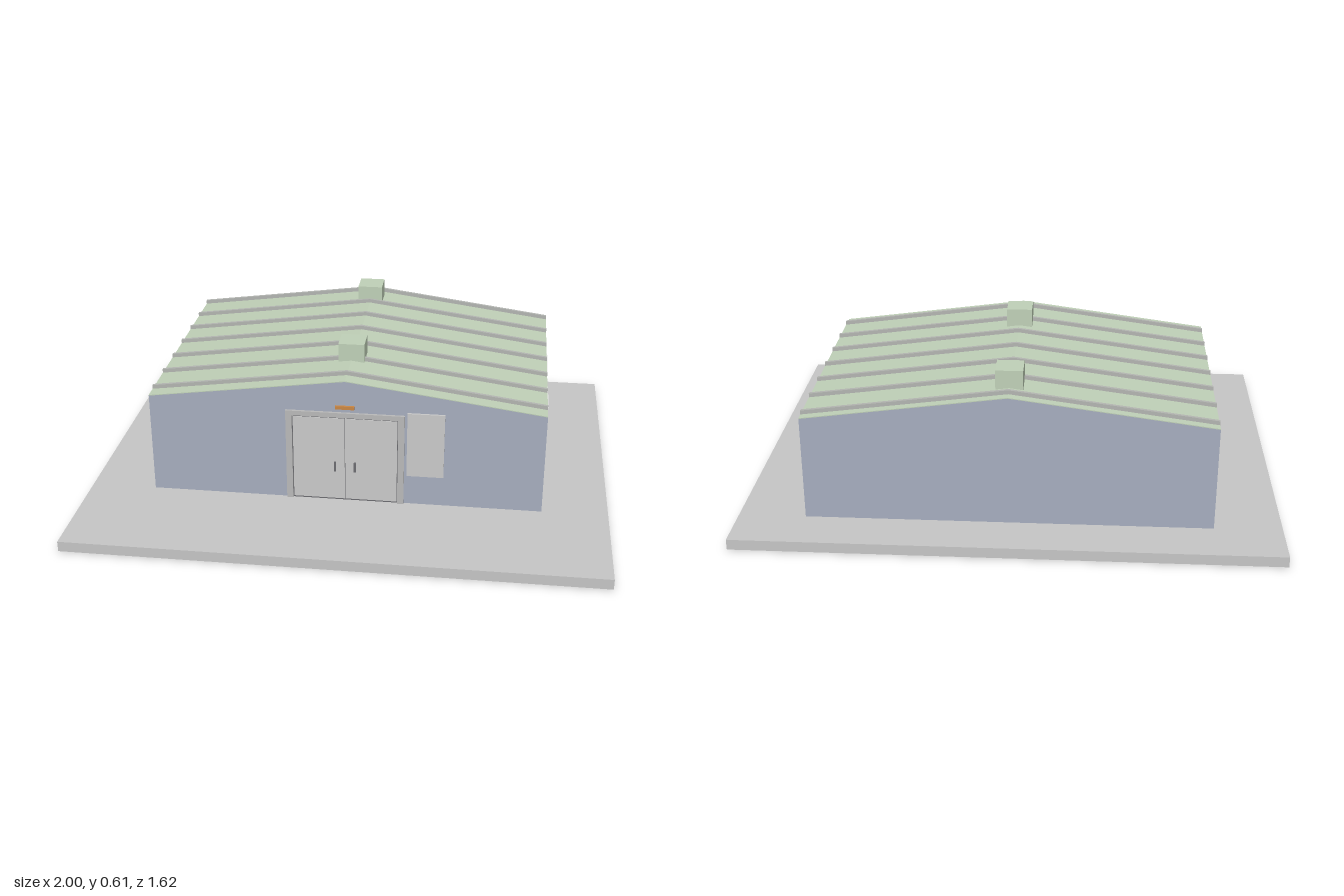
import * as THREE from 'three';

const mat = (name, color) => {
  const m = new THREE.MeshStandardMaterial({ color });
  m.name = name;
  return m;
};

export function createModel() {
  const model = new THREE.Group();
  model.name = 'hall';
  const concrete = mat('concrete grey', 0xc6c6c6);
  const wall = mat('wall blue grey', 0xa7aebf);
  const roofGreen = mat('roof green', 0xc0d1b8);
  const ribGrey = mat('rib grey', 0xb4b6b2);
  const frameGrey = mat('frame grey', 0xbababa);
  const doorGrey = mat('door grey', 0xcacaca);
  const trim = mat('window trim', 0xf4f4f2);
  const glass = mat('amber glass', 0xe4b87a);
  const lampColor = mat('lamp orange', 0xcc8844);
  const dark = mat('dark metal', 0x6c6c70);

  // Box given by its two extreme corners
  function box(name, material, [x0, x1], [y0, y1], [z0, z1], parent = model) {
    const mesh = new THREE.Mesh(new THREE.BoxGeometry(x1 - x0, y1 - y0, z1 - z0), material);
    mesh.position.set((x0 + x1) / 2, (y0 + y1) / 2, (z0 + z1) / 2);
    mesh.name = name;
    parent.add(mesh);
  }

  // Profile in x/y extruded from z0 to z1
  function prism(name, material, points, z0, z1) {
    const shape = new THREE.Shape(points.map(([x, y]) => new THREE.Vector2(x, y)));
    const geo = new THREE.ExtrudeGeometry(shape, { depth: z1 - z0, bevelEnabled: false });
    geo.translate(0, 0, z0);
    const mesh = new THREE.Mesh(geo, material);
    mesh.name = name;
    model.add(mesh);
  }

  // Strip of the given thickness following the two roof slopes
  const W = 0.75, EAVE = 0.438, RIDGE = 0.538, BACK = -0.625, FRONT = 0.375;
  const gable = (low, high) => [
    [-W, EAVE + low], [0, RIDGE + low], [W, EAVE + low],
    [W, EAVE + high], [0, RIDGE + high], [-W, EAVE + high],
  ];

  // Ground slab, walls and roof
  box('groundSlab', concrete, [-1, 1], [0, 0.04], [-0.81, 0.81]);
  prism('walls', wall, [[-W, 0.04], [W, 0.04], [W, EAVE], [0, RIDGE], [-W, EAVE]], BACK, FRONT);
  prism('roof', roofGreen, gable(0, 0.003), BACK, FRONT);

  // Raised seams across the roof
  for (let i = 0; i < 7; i++) {
    const z = 0.313 - i * 0.15;
    prism('roofRib', ribGrey, gable(0.002, 0.018), z - 0.006, z + 0.006);
  }

  // Ridge vents
  for (const z of [0.135, -0.49]) {
    box('roofVent', roofGreen, [-0.05, 0.05], [0.5, 0.608], [z - 0.05, z + 0.05]);
  }

  // Double door with frame, handles and lamp
  const door = new THREE.Group();
  door.name = 'doubleDoor';
  model.add(door);
  box('doorGap', dark, [-0.201, 0.201], [0.04, 0.394], [0.37, 0.3765], door);
  box('doorHeader', frameGrey, [-0.225, 0.225], [0.394, 0.413], [0.37, 0.385], door);
  for (const s of [-1, 1]) {
    const span = (a, b) => (s > 0 ? [a, b] : [-b, -a]);
    box('doorJamb', frameGrey, span(0.201, 0.225), [0.04, 0.394], [0.37, 0.385], door);
    box('doorLeaf', doorGrey, span(0.001, 0.198), [0.046, 0.388], [0.37, 0.379], door);
    box('doorHandle', dark, span(0.034, 0.042), [0.165, 0.205], [0.378, 0.385], door);
  }
  box('doorLamp', lampColor, [-0.036, 0.036], [0.428, 0.441], [0.37, 0.384]);
  box('wallPanel', doorGrey, [0.235, 0.375], [0.163, 0.425], [0.37, 0.383]);

  // Two windows on each side wall
  for (const s of [-1, 1]) {
    const out = (d) => (s > 0 ? [W - 0.005, W + d] : [-W - d, -W + 0.005]);
    for (const z of [0.042, -0.292]) {
      const win = new THREE.Group();
      win.name = 'window';
      model.add(win);
      box('windowFrame', trim, out(0.002), [0.192, 0.358], [z - 0.091, z + 0.091], win);
      box('windowPane', glass, out(0.004), [0.198, 0.352], [z - 0.081, z + 0.083], win);
      box('windowLintel', trim, out(0.009), [0.357, 0.364], [z - 0.097, z + 0.097], win);
      box('windowSill', trim, out(0.009), [0.185, 0.193], [z - 0.097, z + 0.097], win);
    }
  }
  return model;
}
